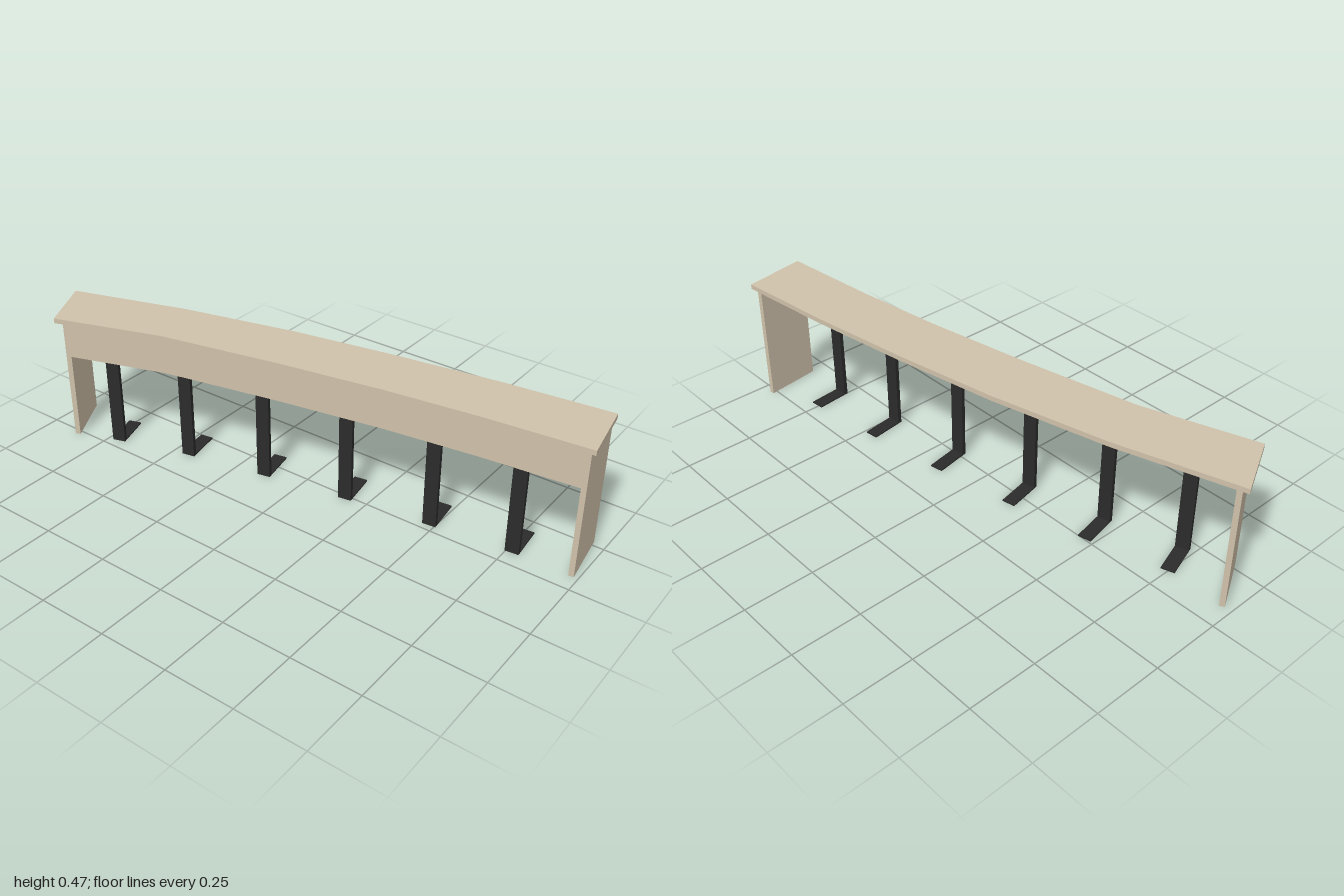
import * as THREE from 'three';

const wood = new THREE.MeshStandardMaterial({ color: 0xd0c2ab, flatShading: true });
const metal = new THREE.MeshStandardMaterial({ color: 0x2b2b2b, flatShading: true });

const TOP_Y = 0.475, UNDER_Y = 0.457, APRON_Y = 0.328;

// Plan corners [x, z] of the two long edges of the counter, back to front
const concaveEdge = [[-0.292, -0.894], [-0.165, -0.503], [-0.079, -0.069], [-0.016, 0.307], [0.026, 0.635], [0.061, 1.0]];
const convexEdge = [[-0.086, -1.0], [0.042, -0.577], [0.137, -0.159], [0.2, 0.21], [0.254, 0.593], [0.292, 0.961]];

// Upright prism over a plan outline of [x, z] corners
function prism(name, outline, y0, y1, material) {
  const shape = new THREE.Shape(outline.map(([x, z]) => new THREE.Vector2(x, -z)));
  const geometry = new THREE.ExtrudeGeometry(shape, { depth: y1 - y0, bevelEnabled: false });
  geometry.rotateX(-Math.PI / 2).translate(0, y0, 0);
  const mesh = new THREE.Mesh(geometry, material);
  mesh.name = name;
  return mesh;
}

// Position x and slope dx/dz of the concave edge at a given z
function edgeAt(z) {
  let i = 0;
  while (i < concaveEdge.length - 2 && z > concaveEdge[i + 1][1]) i++;
  const [x0, z0] = concaveEdge[i], [x1, z1] = concaveEdge[i + 1];
  const slope = (x1 - x0) / (z1 - z0);
  return { x: x0 + slope * (z - z0), slope };
}

// Standing end board: outer face runs from a to b, thickness goes toward the middle
function endPanel(name, a, b, inward) {
  const length = Math.hypot(b[0] - a[0], b[1] - a[1]);
  const t = 0.018 * inward / length;
  const nx = -(b[1] - a[1]) * t, nz = (b[0] - a[0]) * t;
  return prism(name, [a, b, [b[0] + nx, b[1] + nz], [a[0] + nx, a[1] + nz]], 0, UNDER_Y, wood);
}

// Flat upright with a thin foot reaching under the counter
function support(z) {
  const { x, slope } = edgeAt(z);
  const leg = new THREE.Group();
  leg.name = 'supportLeg';
  const upright = new THREE.Mesh(new THREE.BoxGeometry(0.015, UNDER_Y, 0.048), metal);
  upright.name = 'upright';
  upright.position.y = UNDER_Y / 2;
  const foot = new THREE.Mesh(new THREE.BoxGeometry(0.118, 0.005, 0.048), metal);
  foot.name = 'foot';
  foot.position.set(0.0665, 0.0025, 0);
  leg.add(upright, foot);
  leg.position.set(x + 0.027, 0, z);
  leg.rotation.y = Math.atan(slope);
  return leg;
}

export function createModel() {
  const model = new THREE.Group();
  model.name = 'curvedCounter';

  // Curved worktop
  model.add(prism('worktop', [...concaveEdge, ...[...convexEdge].reverse()], UNDER_Y, TOP_Y, wood));

  // Apron following the concave edge
  const stations = [-0.86, ...concaveEdge.slice(1, -1).map(p => p[1]), 0.968];
  const side = offset => stations.map(z => [edgeAt(z).x + offset, z]);
  model.add(prism('apron', [...side(0.006), ...side(0.019).reverse()], APRON_Y, UNDER_Y, wood));

  // End boards
  model.add(endPanel('backEndPanel', [-0.275, -0.87], [-0.091, -0.973], 1));
  model.add(endPanel('frontEndPanel', [0.065, 0.985], [0.27, 0.957], -1));

  // Row of supports
  for (const z of [-0.71, -0.44, -0.14, 0.17, 0.48, 0.77]) model.add(support(z));

  return model;
}
